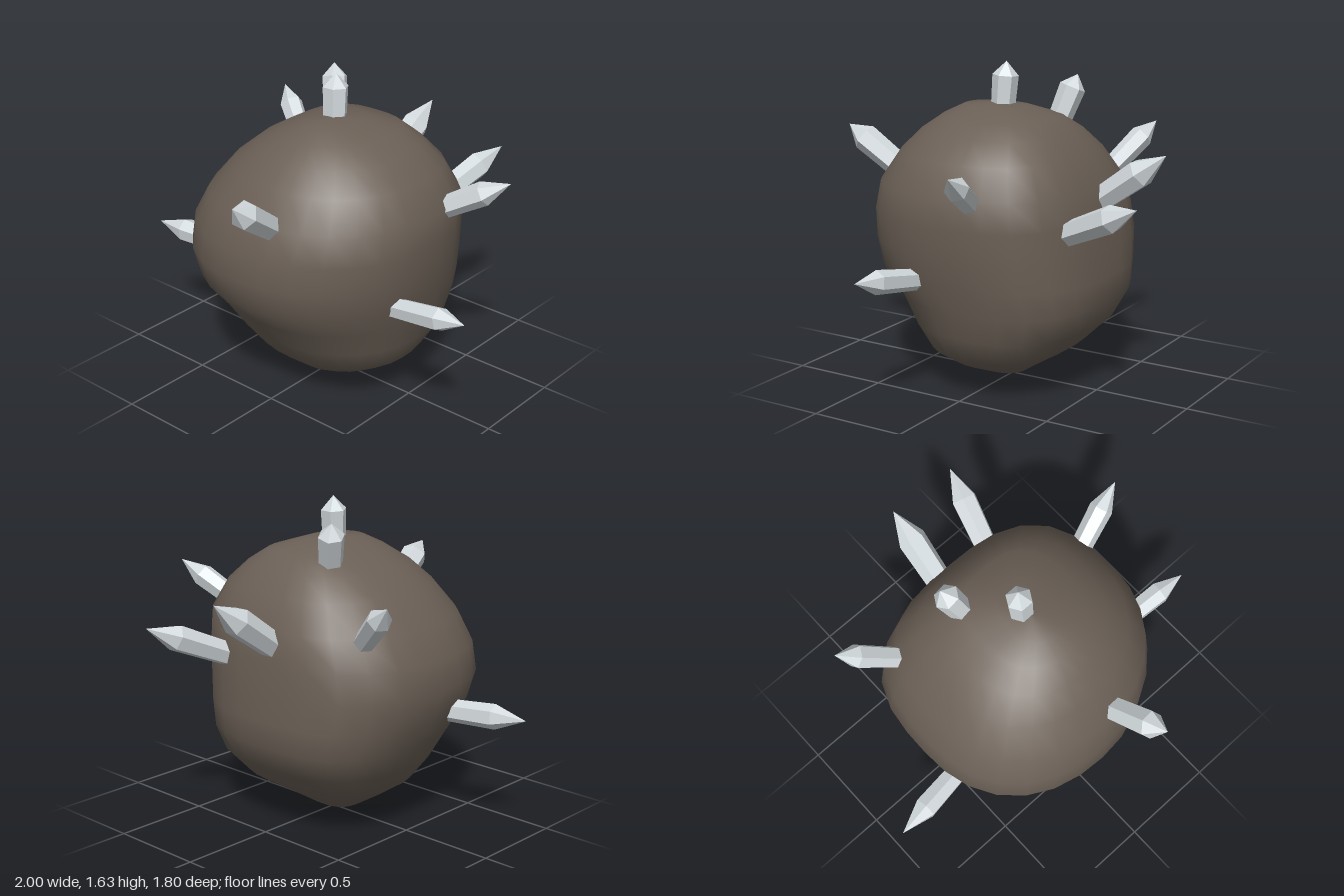
import * as THREE from 'three';

// Rock cross-sections: height, x min, x max, z min, z max
const SECTIONS = [
  [0.00, 0.02, 0.02, 0.04, 0.04],
  [0.04, -0.15, 0.14, -0.10, 0.18],
  [0.12, -0.28, 0.33, -0.22, 0.28],
  [0.20, -0.40, 0.46, -0.35, 0.38],
  [0.33, -0.50, 0.53, -0.48, 0.475],
  [0.47, -0.57, 0.56, -0.55, 0.565],
  [0.60, -0.62, 0.60, -0.55, 0.67],
  [0.75, -0.66, 0.625, -0.54, 0.70],
  [0.90, -0.635, 0.64, -0.525, 0.69],
  [1.05, -0.56, 0.635, -0.50, 0.64],
  [1.20, -0.44, 0.55, -0.42, 0.53],
  [1.30, -0.32, 0.44, -0.34, 0.43],
  [1.37, -0.20, 0.33, -0.26, 0.33],
  [1.42, -0.07, 0.18, -0.10, 0.23],
  [1.432, 0.05, 0.05, 0.08, 0.08],
];

// Squareness of each quarter of a section: 2 is round, more is squarer
const SQUARENESS = { frontLeft: 2.05, frontRight: 2.3, backLeft: 2.8, backRight: 3.0 };

// Crystals: point where it leaves the rock, tip, radius, length of the pointed end
const CRYSTALS = [
  ['topCrystal', [0.03, 1.42, 0.035], [0.022, 1.635, 0.02], 0.066, 0.07],
  ['topBackCrystal', [-0.17, 1.39, -0.2], [-0.22, 1.56, -0.25], 0.067, 0.07],
  ['frontCrystal', [0.12, 1.05, 0.61], [0.17, 1.26, 0.9], 0.071, 0.11],
  ['upperRightCrystal', [-0.53, 1.08, -0.33], [-0.74, 1.265, -0.44], 0.061, 0.12],
  ['upperLeftCrystal', [0.63, 1.06, -0.14], [0.905, 1.22, -0.22], 0.061, 0.15],
  ['lowerLeftCrystal', [0.61, 0.62, 0.21], [0.998, 0.69, 0.245], 0.06, 0.15],
  ['lowerRightCrystal', [-0.62, 0.6, 0.235], [-1.0, 0.62, 0.29], 0.064, 0.17],
  ['backUpperCrystal', [-0.045, 0.99, -0.5], [-0.03, 1.235, -0.84], 0.075, 0.17],
  ['backLowerCrystal', [0.29, 0.89, -0.52], [0.39, 1.06, -0.9], 0.069, 0.17],
];

// Stack of rounded sections with shared vertices
function rockGeometry(segments = 28) {
  const positions = [], indices = [];
  for (const [y, x0, x1, z0, z1] of SECTIONS) {
    const cx = (x0 + x1) / 2, cz = (z0 + z1) / 2;
    const a = Math.max((x1 - x0) / 2, 1e-5), b = Math.max((z1 - z0) / 2, 1e-5);
    for (let i = 0; i < segments; i++) {
      const t = (i / segments) * Math.PI * 2;
      const s = Math.sin(t), c = Math.cos(t);
      const n = SQUARENESS[(c < 0 ? 'back' : 'front') + (s < 0 ? 'Right' : 'Left')];
      const r = Math.pow(Math.abs(s) ** n + Math.abs(c) ** n, -1 / n);
      positions.push(cx + a * r * s, y, cz + b * r * c);
    }
  }
  for (let j = 0; j < SECTIONS.length - 1; j++) {
    for (let i = 0; i < segments; i++) {
      const k = (i + 1) % segments;
      const p = j * segments + i, q = j * segments + k;
      const u = p + segments, v = q + segments;
      if (j > 0) indices.push(p, q, u);
      if (j === 0) indices.push(p, v, u);
      else if (j < SECTIONS.length - 2) indices.push(q, v, u);
    }
  }
  const geometry = new THREE.BufferGeometry();
  geometry.setAttribute('position', new THREE.Float32BufferAttribute(positions, 3));
  geometry.setIndex(indices);
  geometry.computeVertexNormals();
  return geometry;
}

// Faceted six-sided prism with a point, slightly narrower at the root
function crystalGeometry(radius, length, point) {
  const profile = [[0, 0], [radius * 0.88, 0], [radius, length - point], [0, length]]
    .map(([x, y]) => new THREE.Vector2(x, y));
  const geometry = new THREE.LatheGeometry(profile, 6, Math.PI / 6).toNonIndexed();
  geometry.computeVertexNormals();
  return geometry;
}

export function createModel() {
  const model = new THREE.Group();
  model.name = 'crystalRock';

  const stone = new THREE.MeshStandardMaterial({ color: 0x6b6056 });
  stone.name = 'brown stone';
  const crystal = new THREE.MeshStandardMaterial({ color: 0xd2d9dc });
  crystal.name = 'pale grey crystal';

  const rock = new THREE.Mesh(rockGeometry(), stone);
  rock.name = 'rock';
  model.add(rock);

  // Each crystal is rooted a little way inside the rock
  const up = new THREE.Vector3(0, 1, 0);
  for (const [name, from, to, radius, point] of CRYSTALS) {
    const tip = new THREE.Vector3(...to);
    const root = new THREE.Vector3(...from);
    const direction = tip.clone().sub(root).normalize();
    root.addScaledVector(direction, -0.1);
    const mesh = new THREE.Mesh(crystalGeometry(radius, tip.distanceTo(root), point), crystal);
    mesh.name = name;
    mesh.position.copy(root);
    mesh.quaternion.setFromUnitVectors(up, direction);
    model.add(mesh);
  }
  return model;
}
